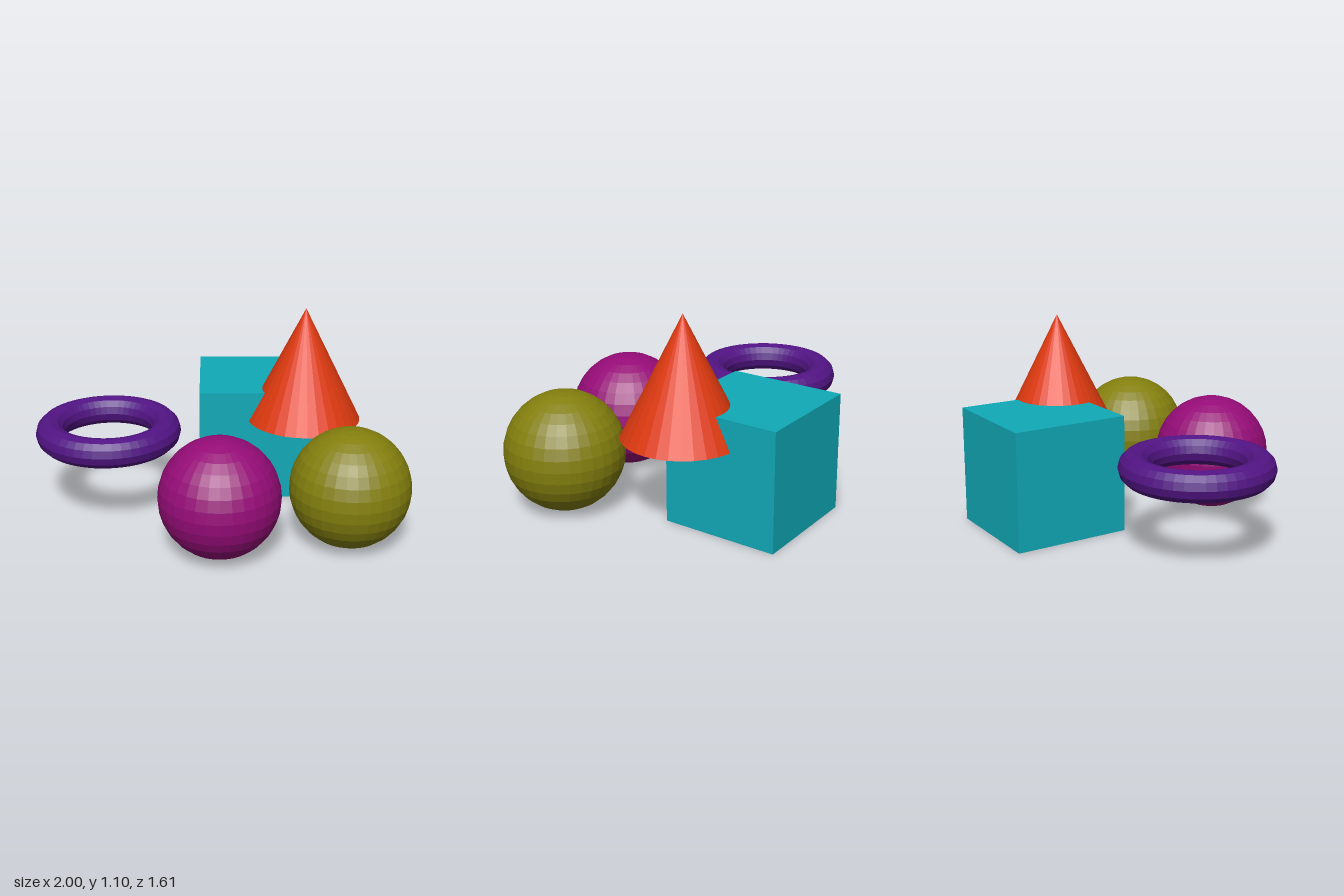
import * as THREE from 'three';

export function createModel() {
  const model = new THREE.Group();
  const S = 0.635; // shared size of the solids
  const R = S / 2;

  const add = (name, geometry, color, x, y, z) => {
    const material = new THREE.MeshStandardMaterial({ color, flatShading: true });
    const mesh = new THREE.Mesh(geometry, material);
    mesh.name = name;
    mesh.position.set(x, y, z);
    model.add(mesh);
  };

  // Cube and the two balls resting on the floor
  add('cube', new THREE.BoxGeometry(S, S, S), 0x10aab8, 0.213, R, -0.487);
  add('magentaBall', new THREE.SphereGeometry(R, 32, 16), 0x960c78, 0.003, R, 0.485);
  add('oliveBall', new THREE.SphereGeometry(R, 32, 16), 0x84800e, 0.682, R, 0.372);

  // Cone cutting into the corner of the cube
  add('cone', new THREE.ConeGeometry(R, S, 32), 0xe03a10, 0.48, 0.467 + R, -0.24);

  // Floating ring lying flat
  const ring = new THREE.TorusGeometry(R, R / 4, 12, 48).rotateX(-Math.PI / 2);
  add('ring', ring, 0x521484, -0.603, 0.463, -0.056);

  return model;
}
